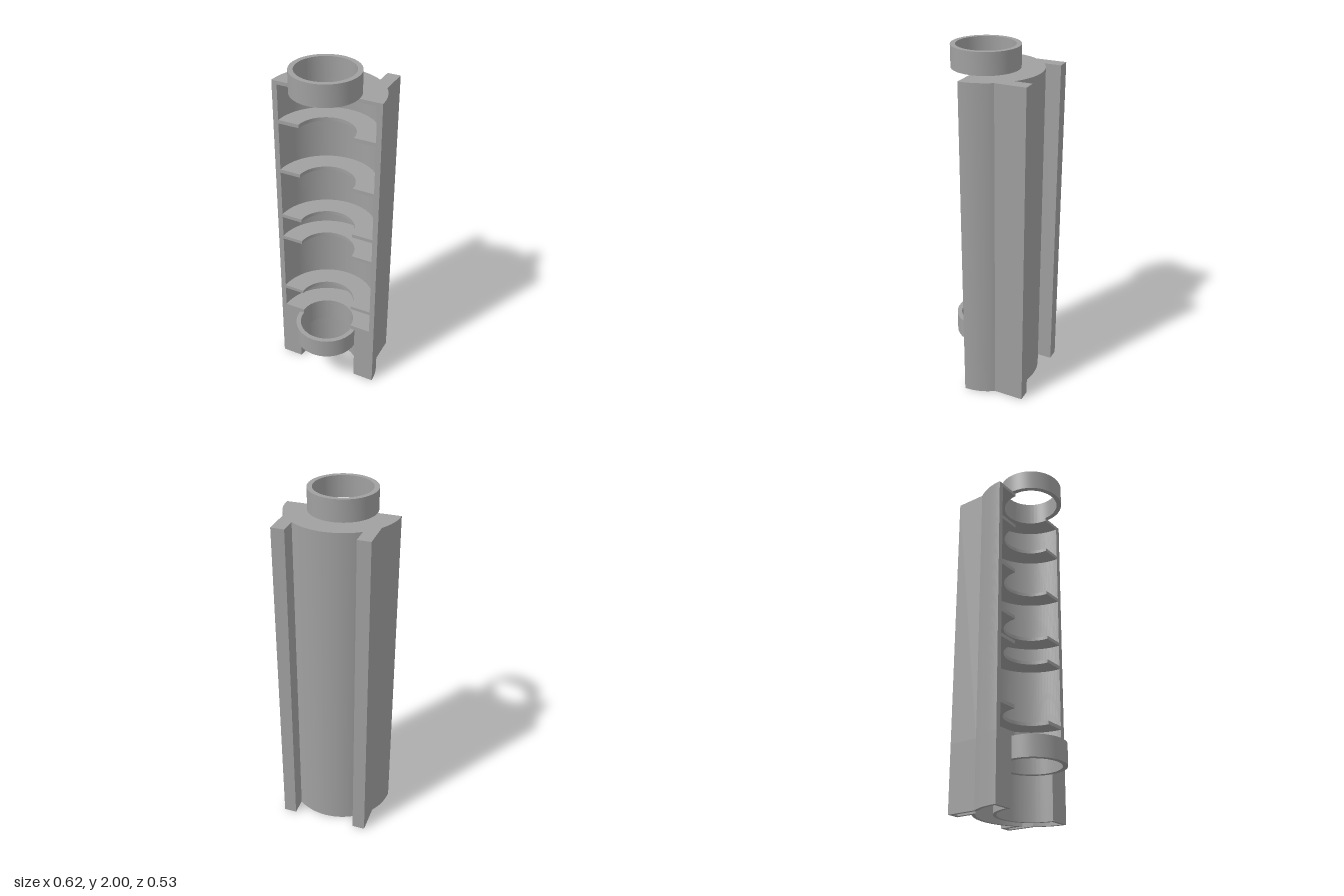
import * as THREE from 'three';
import { toCreasedNormals } from 'three/addons/utils/BufferGeometryUtils.js';

const AXIS_Z = 0.08;      // z of the common bore axis
const R_OUT = 0.31;       // outer body radius
const R_CAVITY = 0.28;    // radius of the open chambers
const R_TUBE = 0.185;     // outer radius of the collars
const R_BORE = 0.158;     // clear bore
const RAIL = { inner: 0.184, outer: 0.257, back: 0.345 };
const TOP = 1.88;
const BASE = 0.37;

// Half-round body outline with two rear rails; inset t shrinks it evenly.
function bodyOutline(path, bore, t = 0) {
  const R = R_OUT - t, r = bore + t;
  const xi = RAIL.inner + t, xo = RAIL.outer - t, back = RAIL.back - t;
  const a0 = Math.asin(t / R), a1 = Math.acos(xo / R), a2 = Math.acos(xi / R);
  const b0 = Math.asin(t / r);
  path.moveTo(R * Math.cos(a0), t);
  path.absarc(0, 0, R, a0, a1, false);
  path.lineTo(xo, back);
  path.lineTo(xi, back);
  path.absarc(0, 0, R, a2, Math.PI - a2, false);
  path.lineTo(-xi, back);
  path.lineTo(-xo, back);
  path.absarc(0, 0, R, Math.PI - a1, Math.PI - a0, false);
  path.absarc(0, 0, r, Math.PI - b0, b0, true);
  path.closePath();
  return path;
}

function halfRing(outer, inner) {
  const s = new THREE.Shape();
  s.absarc(0, 0, outer, 0, Math.PI, false);
  s.absarc(0, 0, inner, Math.PI, 0, true);
  s.closePath();
  return s;
}

function fullRing(outer, inner) {
  const s = new THREE.Shape();
  s.absarc(0, 0, outer, 0, Math.PI * 2, false);
  s.holes.push(new THREE.Path().absarc(0, 0, inner, 0, Math.PI * 2, true));
  return s;
}

export function createModel() {
  const model = new THREE.Group();
  model.name = 'slottedHolder';
  const grey = new THREE.MeshStandardMaterial({ color: 0xa0a0a0 });
  grey.name = 'grey';

  // Extrude a plan shape upwards from y0 to y1
  const add = (name, shape, y0, y1) => {
    const geo = new THREE.ExtrudeGeometry(shape, {
      depth: y1 - y0, bevelEnabled: false, curveSegments: 48,
    });
    geo.rotateX(-Math.PI / 2);
    geo.translate(0, y0, AXIS_Z);
    const mesh = new THREE.Mesh(toCreasedNormals(geo, 0.4), grey);
    mesh.name = name;
    model.add(mesh);
  };

  // Base with a hollow pocket open at the bottom
  const base = bodyOutline(new THREE.Shape(), R_TUBE);
  base.holes.push(bodyOutline(new THREE.Path(), R_TUBE, 0.018));
  add('base', base, 0, BASE);

  // Chamber shell with the rear rails
  add('shell', bodyOutline(new THREE.Shape(), R_CAVITY), BASE, TOP);

  // Dividers between the chambers, including floor and roof
  const dividers = [
    [BASE, 0.395], [0.525, 0.545], [0.895, 0.915], [1.045, 1.065],
    [1.34, 1.36], [1.64, 1.66], [1.86, TOP],
  ];
  for (const [y0, y1] of dividers) add('divider', halfRing(R_CAVITY, R_BORE), y0, y1);

  // Collars around the bore
  add('lowerCollar', fullRing(R_TUBE, R_BORE), 0.25, BASE);
  add('upperCollar', fullRing(R_TUBE, R_BORE), TOP, 2);

  return model;
}
